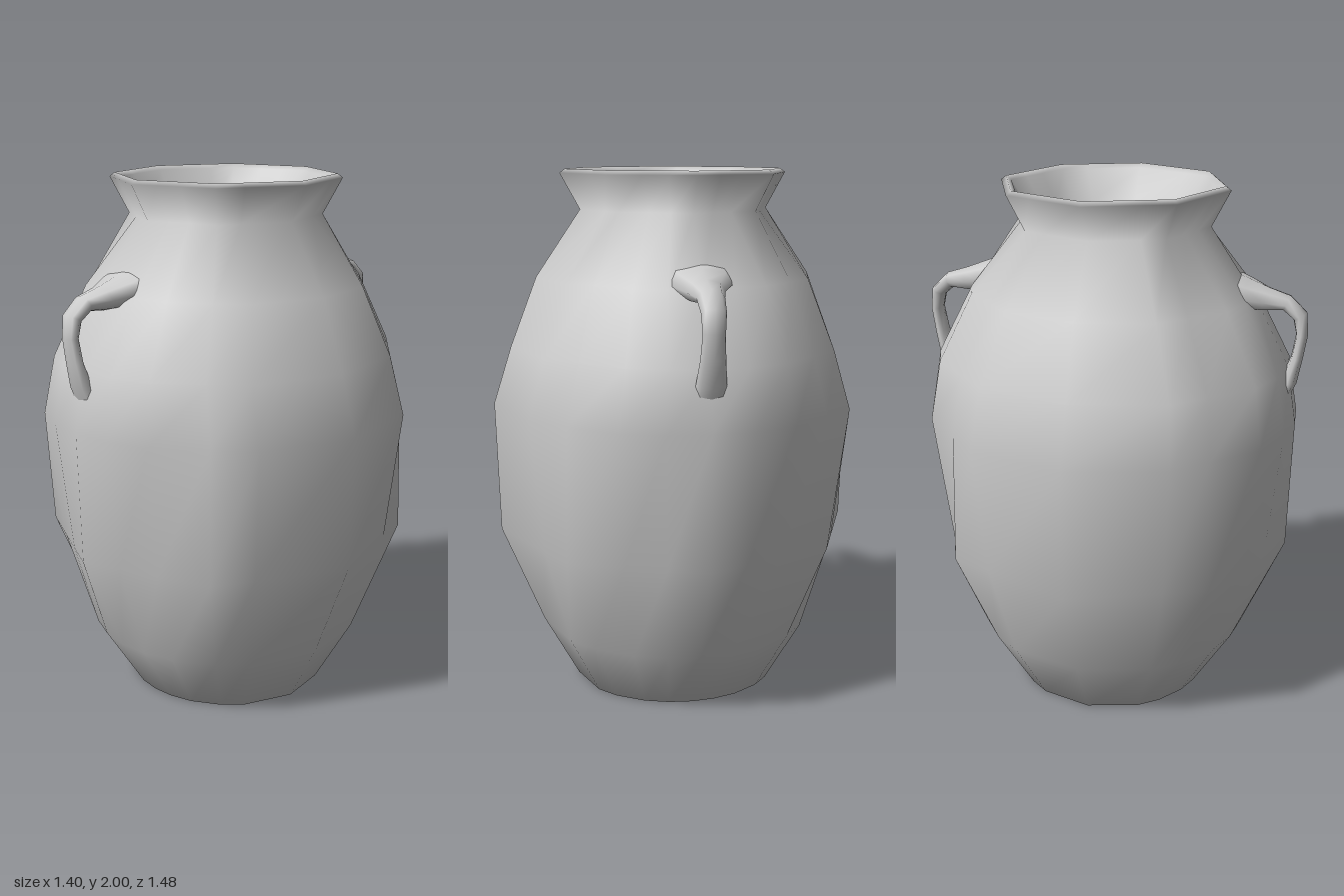
import * as THREE from 'three';

const RAD = Math.PI / 180;

// Skin a list of closed rings (equal point counts) with shared, smooth normals
function loft(name, rings) {
  const n = rings[0].length;
  const index = [];
  for (let i = 0; i < rings.length - 1; i++) {
    for (let j = 0; j < n; j++) {
      const a = i * n + j, b = i * n + (j + 1) % n;
      index.push(a, a + n, b, b, a + n, b + n);
    }
  }
  const geometry = new THREE.BufferGeometry();
  geometry.setAttribute('position', new THREE.Float32BufferAttribute(rings.flat(2), 3));
  geometry.setIndex(index);
  geometry.computeVertexNormals();
  const material = new THREE.MeshStandardMaterial({ color: 0xcccccc, side: THREE.DoubleSide });
  const mesh = new THREE.Mesh(geometry, material);
  mesh.name = name;
  return mesh;
}

// Mirror the angles of one quadrant round the full circle
function fullCircle(quadrant) {
  const half = [...quadrant, ...quadrant.map((a) => 180 - a)];
  const all = [...half, ...half.map((a) => (360 - a) % 360)];
  return [...new Set(all.map((a) => a % 360))].sort((a, b) => a - b);
}

const COLUMNS = fullCircle([0, 31, 45, 63, 77, 90]);
const OCTAGON = fullCircle([0, 45, 90]);
const BELLY = fullCircle([0, 31, 63, 77, 90]);
const ROUND = COLUMNS;

// Horizontal ring whose corners lie at the given angles; other columns sit on its straight sides
function polygonRing(y, rx, rz, corners) {
  return COLUMNS.map((angle) => {
    let k = corners.length - 1;
    while (corners[k] > angle) k--;
    const a = corners[k] * RAD;
    const b = (k + 1 < corners.length ? corners[k + 1] : 360) * RAD;
    const t = angle * RAD;
    const r = Math.cos((b - a) / 2) / Math.cos(t - (a + b) / 2);
    return [rx * r * Math.cos(t), y, rz * r * Math.sin(t)];
  });
}

// Handle cross-sections follow a path in the z-y plane: [z, y, half width, half thickness]
function handleRings(path) {
  const sides = 8;
  return path.map(([z, y, w, h], i) => {
    const p = path[Math.max(i - 1, 0)], q = path[Math.min(i + 1, path.length - 1)];
    const dz = q[0] - p[0], dy = q[1] - p[1], len = Math.hypot(dz, dy);
    return Array.from({ length: sides }, (_, j) => {
      const t = (j / sides) * Math.PI * 2;
      const s = (h * Math.sin(t)) / len;
      return [-w * Math.cos(t), y + dz * s, z - dy * s];
    });
  });
}

export function createModel() {
  const group = new THREE.Group();
  group.name = 'jar';

  // Wall: up the outside, over the lip, down the hollow inside
  const profile = [
    [0, 0, 0, ROUND],
    [0, 0.39, 0.37, ROUND],
    [0.24, 0.525, 0.525, ROUND],
    [0.62, 0.685, 0.695, OCTAGON],
    [1.12, 0.70, 0.71, BELLY],
    [1.34, 0.63, 0.675, BELLY],
    [1.6, 0.53, 0.54, BELLY],
    [1.85, 0.36, 0.37, OCTAGON],
    [1.985, 0.435, 0.44, OCTAGON],
    [2.0, 0.415, 0.42, OCTAGON],
    [1.985, 0.39, 0.40, OCTAGON],
    [1.87, 0.325, 0.325, OCTAGON],
    [1.8, 0.285, 0.285, OCTAGON],
    [1.7, 0.36, 0.36, OCTAGON],
    [1.56, 0.47, 0.47, BELLY],
    [1.12, 0.64, 0.64, BELLY],
    [0.62, 0.63, 0.63, OCTAGON],
    [0.26, 0.46, 0.46, ROUND],
    [0.06, 0.33, 0.33, ROUND],
    [0.06, 0, 0, ROUND],
  ];
  group.add(loft('body', profile.map((row) => polygonRing(...row))));

  // Two small ears, flared where they join the shoulder
  const path = [
    [0.42, 1.65, 0.13, 0.05],
    [0.50, 1.615, 0.12, 0.055],
    [0.58, 1.595, 0.07, 0.045],
    [0.66, 1.585, 0.05, 0.03],
    [0.71, 1.54, 0.045, 0.028],
    [0.72, 1.47, 0.04, 0.022],
    [0.705, 1.38, 0.045, 0.022],
    [0.68, 1.29, 0.055, 0.03],
    [0.64, 1.2, 0.06, 0.03],
  ];
  for (const [name, turn] of [['frontHandle', 0], ['backHandle', Math.PI]]) {
    const handle = loft(name, handleRings(path));
    handle.rotation.y = turn;
    group.add(handle);
  }

  return group;
}
